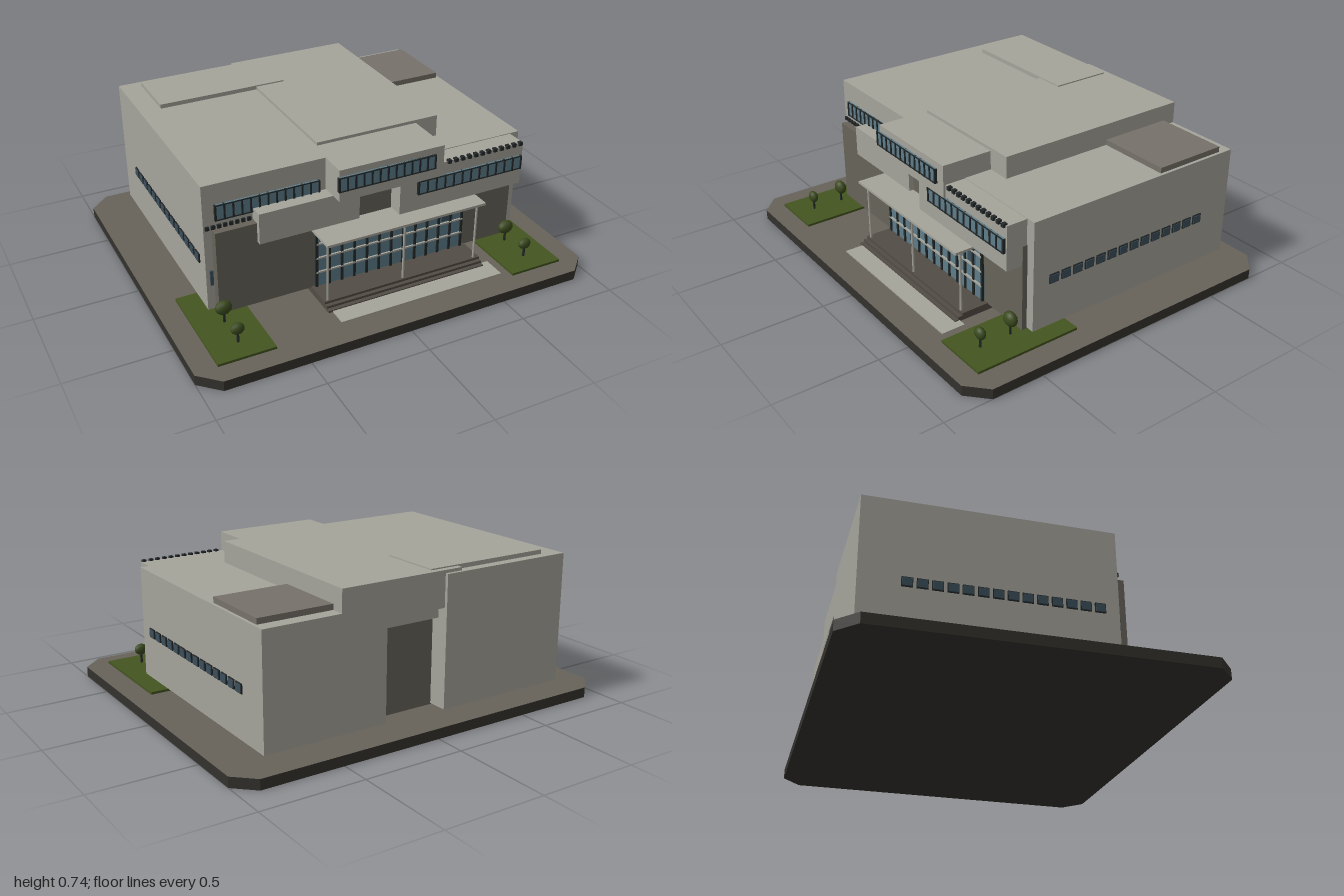
import * as THREE from 'three';

const mat = (name, color) => {
  const m = new THREE.MeshStandardMaterial({ color });
  m.name = name;
  return m;
};

export function createModel() {
  const root = new THREE.Group();
  root.name = 'civicBuilding';
  const concrete = mat('pale concrete', 0xa5a49b);
  const brown = mat('brown stone', 0x67635a);
  const roofBrown = mat('roof brown', 0x76726a);
  const edge = mat('dark edge', 0x34322d);
  const step = mat('step stone', 0x524c45);
  const glass = mat('blue glass', 0x5f7d8a);
  const darkGlass = mat('dark glass', 0x3c4f5b);
  const frame = mat('dark frame', 0x24292a);
  const grass = mat('grass', 0x445520);
  const leaf = mat('foliage', 0x3b4a1f);

  // Box given by its extents on each axis
  function box(name, m, x0, x1, y0, y1, z0, z1, parent = root) {
    const b = new THREE.Mesh(new THREE.BoxGeometry(x1 - x0, y1 - y0, z1 - z0), m);
    b.position.set((x0 + x1) / 2, (y0 + y1) / 2, (z0 + z1) / 2);
    b.name = name;
    parent.add(b);
    return b;
  }
  function group(name) {
    const g = new THREE.Group();
    g.name = name;
    root.add(g);
    return g;
  }

  // Paved base with cut corners: paving on the cap, dark edge on the sides
  const outline = new THREE.Shape([
    [-0.905, -0.85], [0.905, -0.85], [1, -0.76], [1, 0.76],
    [0.905, 0.85], [-0.905, 0.85], [-1, 0.76], [-1, -0.76],
  ].map(([x, y]) => new THREE.Vector2(x, y)));
  const slab = new THREE.Mesh(
    new THREE.ExtrudeGeometry(outline, { depth: 0.046, bevelEnabled: false }), edge);
  slab.rotation.x = -Math.PI / 2;
  slab.name = 'base';
  root.add(slab);
  const paving = new THREE.Mesh(
    new THREE.ExtrudeGeometry(outline, { depth: 0.004, bevelEnabled: false }), [brown, edge]);
  paving.rotation.x = -Math.PI / 2;
  paving.position.y = 0.046;
  paving.name = 'paving';
  root.add(paving);

  // Main volumes
  box('core', brown, -0.76, 0.78, 0.08, 0.5, -0.66, 0.445);
  box('leftBlock', concrete, -0.797, -0.1, 0.085, 0.717, -0.757, 0.4);
  box('rightBlock', concrete, 0.21, 0.823, 0.085, 0.625, -0.74, 0.42);
  box('centreBlock', concrete, -0.192, 0.443, 0.56, 0.732, -0.741, 0.28);
  box('centreInfill', concrete, -0.11, 0.22, 0.505, 0.565, -0.7, 0.4);
  box('upperFrontBox', concrete, -0.208, 0.327, 0.56, 0.717, 0.27, 0.535);
  box('rightFrontBox', concrete, 0.108, 0.775, 0.405, 0.622, 0.35, 0.525);
  box('leftFrontBox', concrete, -0.565, -0.07, 0.405, 0.557, 0.35, 0.47);
  box('leftRoofSlab', concrete, -0.694, -0.042, 0.717, 0.738, -0.712, -0.407);
  box('rightRoofSlab', roofBrown, 0.443, 0.808, 0.625, 0.652, -0.675, -0.305);

  // Window bands: pane, frame strips and mullions
  function windowBand(name, x0, x1, y0, y1, z, n) {
    const g = group(name);
    box('pane', glass, x0, x1, y0, y1, z, z + 0.009, g);
    for (const y of [y0, y1 - 0.005]) box('rail', frame, x0, x1, y, y + 0.005, z, z + 0.013, g);
    for (let i = 0; i <= n; i++) {
      const x = x0 + ((x1 - x0) * i) / n;
      box('mullion', frame, x - 0.004, x + 0.004, y0, y1, z, z + 0.014, g);
    }
  }
  windowBand('leftWindows', -0.74, -0.245, 0.54, 0.617, 0.4, 12);
  windowBand('upperWindows', -0.213, 0.275, 0.613, 0.685, 0.535, 12);
  windowBand('rightWindows', 0.2, 0.763, 0.49, 0.56, 0.525, 12);

  // Small square windows along both sides
  for (const [name, x] of [['rightSideWindows', -0.797], ['leftSideWindows', 0.823]]) {
    const g = group(name);
    for (let i = 0; i < 14; i++) {
      const z = 0.31 - i * 0.0658;
      box('windowFrame', frame, x - 0.006, x + 0.006, 0.299, 0.344, z - 0.025, z + 0.025, g);
      box('sidePane', darkGlass, x - 0.009, x + 0.009, 0.303, 0.34, z - 0.022, z + 0.022, g);
    }
  }
  box('frontSlit', darkGlass, -0.78, -0.765, 0.215, 0.29, 0.4, 0.409);

  // Rows of dark blocks on the front ledges
  function ledge(name, x0, x1, y, z, n) {
    const g = group(name);
    for (let i = 0; i < n; i++) {
      const x = x0 + ((x1 - x0) * (i + 0.5)) / n;
      box('ledgeBlock', frame, x - 0.009, x + 0.009, y, y + 0.018, z - 0.01, z + 0.01, g);
    }
  }
  ledge('leftLedge', -0.795, -0.57, 0.5, 0.4, 8);
  ledge('rightLedge', 0.345, 0.775, 0.613, 0.526, 12);

  // Entrance: glazed wall, canopy and columns
  const entry = group('entrance');
  box('entranceGlass', glass, -0.285, 0.503, 0.085, 0.39, 0.445, 0.454, entry);
  box('darkPane', darkGlass, 0.388, 0.45, 0.25, 0.31, 0.45, 0.456, entry);
  for (let i = 0; i <= 12; i++) {
    const x = -0.282 + i * 0.0652;
    box('mullion', frame, x - 0.006, x + 0.006, 0.085, 0.39, 0.45, 0.461, entry);
  }
  for (const y of [0.163, 0.24, 0.316])
    box('transom', concrete, -0.285, 0.503, y - 0.004, y + 0.004, 0.45, 0.463, entry);
  box('canopy', concrete, -0.305, 0.525, 0.39, 0.402, 0.43, 0.612, entry);
  for (const x of [-0.285, 0.11, 0.503]) {
    const c = new THREE.Mesh(new THREE.CylinderGeometry(0.006, 0.006, 0.31, 10), concrete);
    c.position.set(x, 0.238, 0.573);
    c.name = 'column';
    entry.add(c);
  }

  // Steps and front landing
  for (let i = 0; i < 3; i++)
    box('step', step, -0.305, 0.53, 0.05, 0.061 + i * 0.012, 0.34, 0.625 - i * 0.02);
  box('landing', concrete, -0.285, 0.57, 0.05, 0.056, 0.6, 0.717);

  // Lawns with two trees each
  function tree(x, z, s) {
    const g = group('tree');
    const trunk = new THREE.Mesh(new THREE.CylinderGeometry(0.005, 0.007, 0.06, 6), frame);
    trunk.position.y = 0.03;
    trunk.name = 'trunk';
    const crown = new THREE.Mesh(new THREE.IcosahedronGeometry(1, 1), leaf);
    crown.scale.set(0.041 * s, 0.036 * s, 0.027 * s);
    crown.position.y = 0.043 + 0.036 * s;
    crown.name = 'crown';
    g.add(trunk, crown);
    g.position.set(x, 0.06, z);
  }
  for (const x of [-0.755, 0.75]) {
    box('lawn', grass, x - 0.137, x + 0.137, 0.05, 0.062, 0.222, 0.752);
    tree(x, 0.485, 1);
    tree(x, 0.645, 0.82);
  }
  return root;
}
